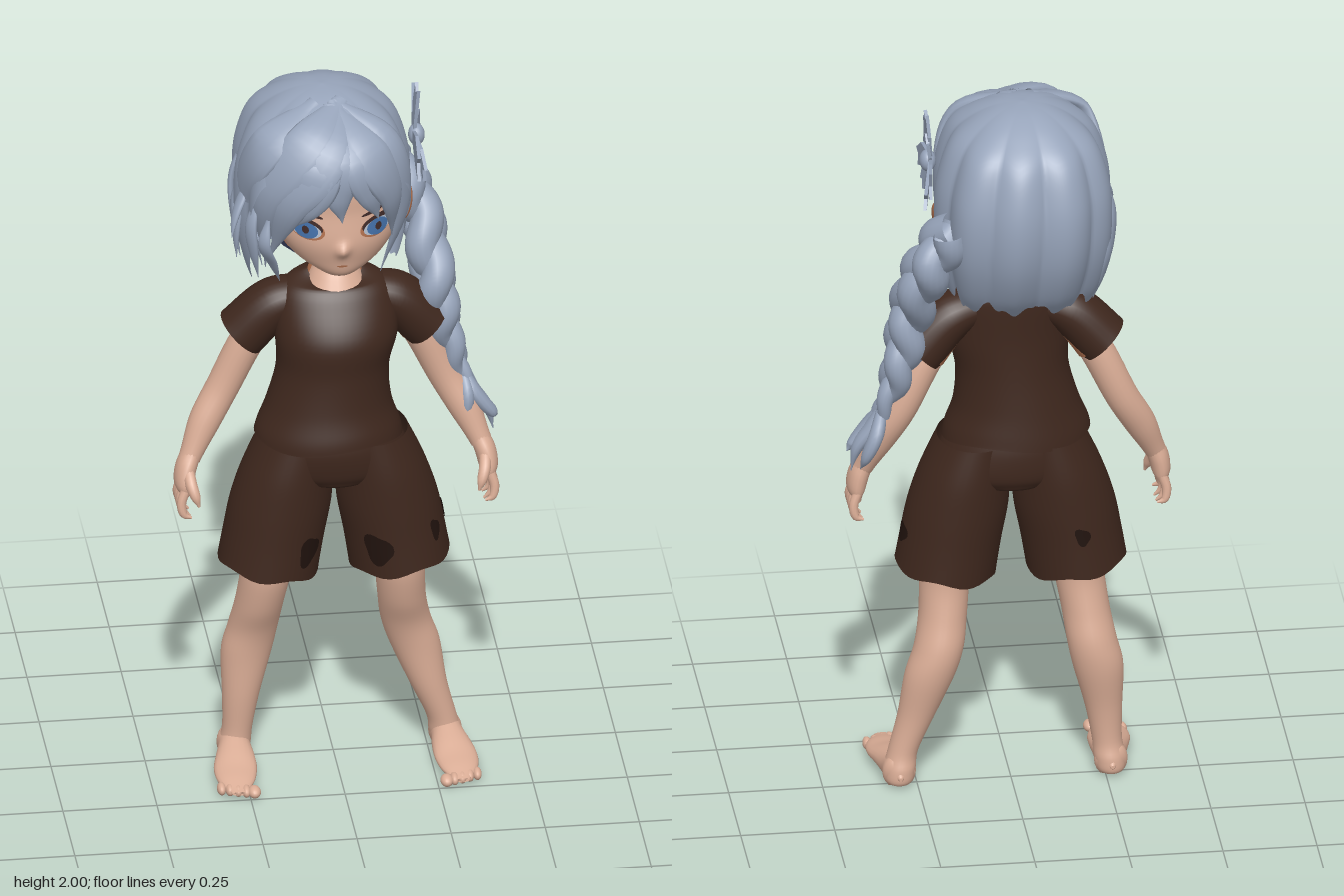
import * as THREE from 'three';
import { mergeVertices } from 'three/addons/utils/BufferGeometryUtils.js';

const V = (x, y, z) => new THREE.Vector3(x, y, z);
const material = (name, color) => {
  const m = new THREE.MeshStandardMaterial({ color, side: THREE.DoubleSide });
  m.name = name;
  return m;
};

// Grid surface: u runs around, v runs along
function grid(f, nu, nv) {
  const pos = [], index = [];
  for (let j = 0; j <= nv; j++) for (let i = 0; i <= nu; i++) pos.push(...f((i % nu) / nu, j / nv).toArray());
  for (let j = 0; j < nv; j++) for (let i = 0; i < nu; i++) {
    const a = j * (nu + 1) + i, b = a + 1, c = a + nu + 1;
    index.push(a, c, b, b, c, c + 1);
  }
  let g = new THREE.BufferGeometry();
  g.setAttribute('position', new THREE.Float32BufferAttribute(pos, 3));
  g.setIndex(index);
  g = mergeVertices(g, 1e-5);
  g.computeVertexNormals();
  return g;
}

// Smooth interpolation through rows of numbers
function sample(rows, v) {
  const n = rows.length - 1, x = Math.min(Math.max(v, 0), 1) * n, i = Math.min(Math.floor(x), n - 1), t = x - i;
  const [a, b, c, d] = [-1, 0, 1, 2].map(k => rows[Math.min(Math.max(i + k, 0), n)]);
  return b.map((_, k) => b[k] + 0.5 * t * (c[k] - a[k] + t * (2 * a[k] - 5 * b[k] + 4 * c[k] - d[k]
    + t * (3 * (b[k] - c[k]) + d[k] - a[k]))));
}

// Point on a loft whose rows are [y, centreX, centreZ, radiusX, radiusZ], listed top down
function ringPoint([y, cx, cz, rx, rz], phi, lift = 0, k = 1) {
  return V(cx + Math.sin(phi) * (Math.max(rx, 0) * k + lift), y, cz + Math.cos(phi) * (Math.max(rz, 0) * k + lift));
}
function rowAt(rows, y) {
  let lo = 0, hi = 1;
  for (let i = 0; i < 24; i++) {
    const m = (lo + hi) / 2;
    if (sample(rows, m)[0] > y) lo = m; else hi = m;
  }
  return lo;
}
const onLoft = (rows, phi, y, lift, k) => ringPoint(sample(rows, rowAt(rows, y)), phi, lift, k);
const loft = (rows, nu = 32, nv = 36, warp = p => p) =>
  grid((u, v) => warp(ringPoint(sample(rows, v), u * Math.PI * 2), v, u * Math.PI * 2), nu, nv);

// Elliptical tube with varying [width, thickness]; hint gives the thickness direction
function sweep(points, radii, hint, nu = 14, nv = 18) {
  const curve = new THREE.CatmullRomCurve3(points);
  return grid((u, v) => {
    const p = curve.getPoint(v), t = curve.getTangent(v), n = hint(p);
    n.addScaledVector(t, -n.dot(t)).normalize();
    const b = t.clone().cross(n), [w, h] = sample(radii, v), a = u * Math.PI * 2;
    return p.addScaledVector(b, Math.cos(a) * Math.max(w, 0)).addScaledVector(n, Math.sin(a) * Math.max(h, 0));
  }, nu, nv);
}
const zHint = () => V(0, 0, 1);

// Thin oval painted on a loft
const patch = (rows, phi, y, w, h, lift, wobble = 0, tilt = 0) => grid((u, v) => {
  const a = u * Math.PI * 2, k = v * (1 + wobble * Math.sin(a * 3 + 1)), r = sample(rows, rowAt(rows, y))[3];
  return onLoft(rows, phi + Math.cos(a) * w * k / r, y + (Math.sin(a) * h + Math.cos(a) * tilt) * k, lift);
}, 24, 5);

export function createModel() {
  const group = new THREE.Group();
  const skin = material('skin', 0xdaad96), shade = material('warmSkin', 0xb0704e);
  const cloth = material('brownCloth', 0x3e271d), dark = material('darkCloth', 0x21130e);
  const hair = material('hair', 0x97a4ba), inner = material('innerHair', 0x474f72);
  const white = material('eyeWhite', 0xb4bdcc), blue = material('irisBlue', 0x4470a8), lash = material('lash', 0x3f2a28);
  const add = (name, geometry, mat) => {
    const m = new THREE.Mesh(geometry, mat);
    m.name = name;
    group.add(m);
    return m;
  };
  const ball = (name, mat, p, r) => {
    const m = add(name, new THREE.SphereGeometry(1, 18, 14), mat);
    m.position.set(...p);
    m.scale.set(...r);
    return m;
  };

  // Head with a small nose, face and neck
  const head = [[1.93, 0, -.01, 0, 0], [1.9, 0, -.01, .1, .11], [1.8, 0, .015, .16, .175], [1.7, 0, .03, .17, .17],
    [1.62, 0, .045, .163, .163], [1.56, 0, .068, .125, .127], [1.52, 0, .09, .068, .09], [1.5, 0, .105, .03, .04], [1.495, 0, .105, 0, 0]];
  add('head', loft(head, 96, 80, p => {
    if (p.z > .1) p.z += .02 * Math.exp(-((p.x / .016) ** 2) - ((p.y - 1.605) / .02) ** 2);
    return p;
  }), skin);
  add('mouth', patch(head, 0, 1.552, .014, .003, .002), shade);
  const neck = [[1.58, 0, .02, .05, .05], [1.5, 0, .025, .05, .05], [1.46, 0, .035, .066, .062], [1.42, 0, .045, .085, .075]];
  add('neck', loft(neck, 24, 10), skin);
  add('neckBack', loft(neck.map(([y, x, z, rx, rz]) => [y, x, z - .02, rx + .002, rz]), 24, 10), shade);
  for (const s of [1, -1]) {
    add('eyeRim', patch(head, s * .6, 1.663, .055, .03, .0015, 0, s * .006), shade);
    add('eyeLid', patch(head, s * .6, 1.672, .05, .022, .0025, 0, s * .007), lash);
    add('eyeWhite', patch(head, s * .6, 1.661, .046, .022, .004, 0, s * .004), white);
    add('iris', patch(head, s * .58, 1.661, .034, .023, .006), blue);
    add('pupil', patch(head, s * .58, 1.663, .01, .011, .008), lash);
    add('eyebrow', patch(head, s * .58, 1.708, .048, .006, .003, 0, s * .01), lash);
    add('templeShade', patch(head, s * 1.5, 1.63, .05, .07, .002), shade);
    const ear = ball('ear', shade, [s * .182, 1.65, .03], [.02, .055, .034]);
    ear.rotation.set(-.2, s * .4, -s * .2);
  }

  // Shirt with sleeves
  const shirt = [[1.465, 0, .025, .072, .06], [1.44, 0, .028, .125, .078], [1.4, 0, .042, .155, .095], [1.3, 0, .067, .163, .12],
    [1.2, -.01, .065, .15, .124], [1.1, -.02, .065, .165, .135], [1.03, -.022, .068, .19, .148], [1, -.022, .068, .197, .152]];
  add('shirt', loft(shirt, 48, 40, (p, v, a) => {
    p.y += -.035 * Math.max(0, Math.cos(a)) * Math.max(0, 1 - v * 6) + .008 * v ** 4 * Math.sin(a * 3);
    return p;
  }), cloth);

  // Shorts
  add('shortsHips', loft([[1.04, -.015, .06, .165, .125], [.98, -.012, .06, .19, .136], [.92, -.008, .056, .205, .133],
    [.89, -.006, .055, .18, .122], [.87, -.005, .055, .1, .1], [.86, -.005, .055, 0, 0]], 40, 24), cloth);

  for (const s of [1, -1]) {
    const side = s > 0 ? 'left' : 'right', P = (x, y, z) => V(s * x, y, z);
    add(side + 'Sleeve', sweep([P(.08, 1.395, .03), P(.16, 1.365, .022), P(.248, 1.275, .01)],
      [[.05, .06], [.066, .072], [.073, .075]], zHint, 24), cloth);

    const o = s > 0 ? 0 : -.012;
    const shorts = [[1, .09], [.9, .116], [.8, .135], [.7, .154], [.615, .168]].map(([y, x], i) =>
      [y, s * x + o, .055, [.1, .12, .134, .134, .133][i], [.125, .136, .139, .14, .143][i]]);
    const hem = (p, v, a) => {
      p.y += v ** 4 * (.018 * s * Math.sin(a) + .006 * Math.sin(a * 5));
      return p;
    };
    add(side + 'ShortsLeg', loft(shorts, 40, 24, hem), cloth);
    // Worn holes
    const holes = s > 0 ? [[-.45, .69, .038, .045], [.85, .725, .018, .03], [1.75, .73, .028, .026]] : [[.65, .69, .033, .042], [3.3, .74, .02, .025]];
    for (const [a, y, w, h] of holes) add('wornHole', patch(shorts, a, y, w, h, .004, .15), dark);

    // Thigh, lower leg and foot
    const leg = [[.85, .13, -.15, .055, .085, .09], [.62, .168, -.184, .06, .067, .082], [.56, .171, -.19, .055, .066, .08],
      [.48, .177, -.202, .036, .064, .077], [.4, .19, -.215, .01, .066, .07], [.32, .215, -.232, .003, .067, .063],
      [.2, .25, -.247, .01, .05, .05], [.1, .285, -.256, .008, .04, .043], [.05, .295, -.262, .002, .042, .048],
      [.012, .298, -.265, 0, .035, .042], [.008, .298, -.265, 0, 0, 0]]
      .map(([y, l, r, ...rest]) => [y, s > 0 ? l : r, ...rest]);
    add(side + 'Thigh', loft(leg.slice(0, 2), 28, 8), shade);
    add(side + 'Leg', loft(leg.slice(1), 28, 48), skin);
    const fx = s > 0 ? .298 : -.265, toe = s * .014;
    const foot = sweep([V(fx, .035, -.05), V(fx, .042, 0), V(fx + toe * .4, .04, .08), V(fx + toe, .028, .16), V(fx + toe, .02, .248)],
      [[.005, .005], [.042, .05], [.043, .046], [.052, .034], [.057, .024], [.048, .018], [.02, .006]], () => V(0, 1, 0), 22, 28);
    const fp = foot.attributes.position;
    for (let i = 0; i < fp.count; i++) fp.setY(i, Math.max(fp.getY(i), .002));
    foot.computeVertexNormals();
    add(side + 'Foot', foot, skin);
    for (let i = 0; i < 5; i++)
      ball('toe', skin, [fx + toe + s * (i - 1.9) * .021, .017, .236 - i * .007], [i ? .012 : .017, .016, .024]);

    // Arm and hand
    add(side + 'UpperArm', sweep([P(.13, 1.39, .02), P(.175, 1.33, .012), P(.22, 1.262, .006)],
      [[.052, .057], [.05, .054], [.048, .051]], zHint, 20, 8), shade);
    add(side + 'Arm', sweep([P(.16, 1.35, .015), P(.225, 1.255, .005), P(.295, 1.11, .002), P(.345, 1.02, .02), P(.388, .925, .045)],
      [[.044, .048], [.046, .049], [.044, .046], [.042, .042], [.029, .032]], zHint, 20, 30), skin);
    add(side + 'Palm', sweep([P(.38, .945, .042), P(.397, .905, .05), P(.405, .86, .057), P(.402, .83, .06)],
      [[.026, .03], [.028, .042], [.025, .048], [.012, .04]], zHint, 18, 14), skin);
    for (let i = 0; i < 4; i++) {
      const z = .022 + i * .025, spread = (i - 1.5) * .008, end = .765 + Math.abs(i - 1.6) * .012;
      add('finger', sweep([P(.405, .855, z), P(.416, .82, z + spread * .5), P(.41, .79, z + spread), P(.39, end, z + spread * 1.3)],
        [[.013, .013], [.0125, .0125], [.01, .01], [.003, .003]], zHint, 10, 12), skin);
    }
    add('thumb', sweep([P(.395, .905, .07), P(.39, .875, .105), P(.38, .845, .122), P(.372, .82, .128)],
      [[.016, .016], [.016, .016], [.013, .013], [.003, .003]], () => V(1, 0, 0), 10, 12), skin);
  }

  // Hair cap with broad scalloped gores, fuller at the corners, open at the front
  const cap = [[2, 0, 0], [1.99, .3, .28], [1.955, .6, .58], [1.9, .83, .83], [1.8, .97, .97], [1.7, 1, 1], [1.6, .97, .93], [1.5, .88, .75], [1.43, .78, .52]]
    .map(([y, kx, kz]) => [y, -.03, 0, .235 * kx, .27 * kz]);
  const fullness = a => .98 + .07 * Math.sin(2 * a) ** 2;
  add('hairCap', grid((u, v) => {
    const a = u * Math.PI * 2, d = a > Math.PI ? a - Math.PI * 2 : a;
    const t = THREE.MathUtils.smoothstep(Math.abs(d), .75, d > 0 ? 1.75 : 1.4);
    const scallop = Math.abs(Math.cos(a * 5 + v * .8 + .4));
    const hem = THREE.MathUtils.lerp(1.81, 1.49 - .04 * scallop, t) + .012 * t * Math.sin(a * 23);
    const w = v * rowAt(cap, hem);
    return ringPoint(sample(cap, w), a, 0, fullness(a) + (scallop - .6) * .085 * Math.min(1, w * 2.5));
  }, 168, 40), hair);
  ball('innerHair', inner, [-.015, 1.7, -.06], [.195, .245, .19]);

  // Fringe and loose locks lying over the cap: [angle, height, lift] steps and width
  const centre = V(-.03, 1.72, 0), outward = p => p.clone().sub(centre);
  const lock = (name, steps, w, t = .02) => add(name, sweep(steps.map(([a, y, l]) => onLoft(cap, a, y, l, fullness(a))),
    [[w * .3, t * .5], [w * .9, t], [w, t], [w * .6, t * .7], [.001, .001]], outward, 14, 24), hair);
  const fringe = [
    [[.5, 1.985], [-.1, 1.9], [-.5, 1.77], [-.9, 1.56], .068], [[.6, 1.985], [-.35, 1.92], [-.8, 1.77], [-1.12, 1.5], .066],
    [[.2, 1.98], [.14, 1.88], [.07, 1.79], [.13, 1.7], .052], [[.2, 1.98], [.5, 1.89], [.75, 1.77], [1, 1.6], .062],
    [[.25, 1.985], [.36, 1.88], [.46, 1.79], [.64, 1.69], .058], [[.3, 1.985], [.85, 1.9], [1.05, 1.71], [1.12, 1.46], .042],
    [[.1, 1.98], [-.16, 1.87], [-.32, 1.77], [-.55, 1.68], .062], [[-.4, 1.985], [-.9, 1.9], [-1.3, 1.73], [-1.4, 1.48], .064]];
  for (const f of fringe) lock('fringeLock', f.slice(0, 4).map((p, i) => [...p, [-.012, .002, -.014, -.034][i]]), f[4]);
  const loose = [[-1, 1.74, -.95, 1.5, .012], [-1.25, 1.75, -1.15, 1.62, .045], [-1.35, 1.72, -1.3, 1.53, .03], [-1.6, 1.74, -1.55, 1.5, .015],
    [-1.85, 1.8, -1.8, 1.5, .015], [-2.1, 1.7, -2.1, 1.45, .008], [-.8, 1.7, -.78, 1.48, -.03]];
  for (const [a, y, b, e, l] of loose)
    lock('looseLock', [[a, y, -.015], [a, (y * 2 + e) / 3, .004], [(a + b) / 2, (y + e * 2) / 3, l * .6], [b, e, l]], .02, .009);

  // Three-strand braid over the left shoulder
  const braid = new THREE.CatmullRomCurve3([V(.17, 1.7, -.13), V(.235, 1.57, -.1), V(.268, 1.4, -.012), V(.295, 1.25, -.01), V(.345, 1.1, -.003)]);
  for (let k = 0; k < 3; k++) {
    const pts = [];
    for (let i = 0; i <= 36; i++) {
      const t = i / 36, a = (t * 1.8 + k / 3) * Math.PI * 2, size = 1 - .55 * t * t;
      pts.push(braid.getPoint(t).add(V(.02 * Math.sin(2 * a) * size, 0, .044 * Math.sin(a) * size)));
    }
    add('braidStrand', sweep(pts, [[.046, .042], [.05, .045], [.046, .043], [.038, .036], [.017, .017]], () => V(1, .3, 0), 16, 96), hair);
  }
  const tips = [[.425, .935, .0], [.365, .965, .03], [.405, .955, -.045], [.435, .985, .02], [.385, .94, .015]];
  for (const [x, y, z] of tips)
    add('braidTail', sweep([V(.342, 1.12, -.003), V(.35 + (x - .36) * .3, 1.06, z * 1.1), V(x - .015, 1.0, z * 1.2), V(x, y, z * .8)],
      [[.014, .014], [.026, .02], [.02, .015], [.001, .001]], () => V(1, 0, 0), 12, 16), hair);

  // Ribbon bow: thin pointed petals [direction, length, half width, outward tilt]
  const bow = new THREE.Group();
  bow.name = 'ribbonBow';
  for (const [a, l, w, tilt] of [[.02, .2, .05, .12], [-.3, .18, .034, .2], [3.08, .2, .05, -.05], [3.45, .15, .034, .1], [1.5, .145, .03, .08],
    [1.05, .09, .03, .15], [-1.2, .08, .03, .2], [-2, .09, .03, .2]]) {
    const shape = new THREE.Shape([[0, -.012], [l * .6, -w], [l, -w * .4], [l * .85, w * .1], [l * .95, w], [l * .55, w * .8], [0, .012]].map(p => new THREE.Vector2(...p)));
    const petal = new THREE.Mesh(new THREE.ExtrudeGeometry(shape, { depth: .009, bevelEnabled: false }), hair);
    petal.name = 'ribbonPetal';
    petal.rotation.set(0, -tilt, a, 'ZYX');
    bow.add(petal);
  }
  bow.rotation.y = Math.PI / 2;
  bow.position.set(.208, 1.835, .01);
  group.add(bow);
  ball('ribbonKnot', hair, [.22, 1.835, .01], [.022, .03, .028]);

  return group;
}
